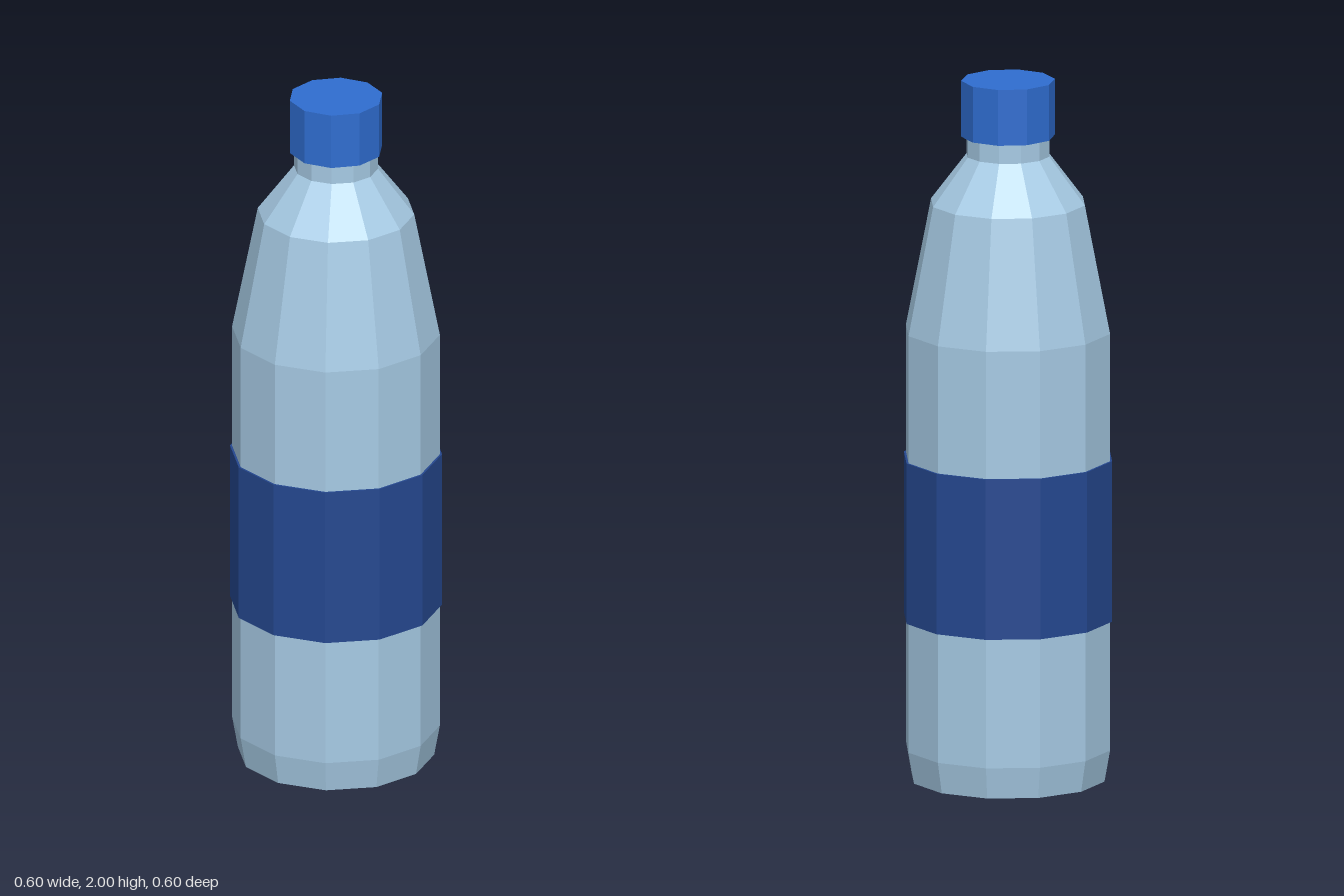
import * as THREE from 'three';

function material(name, color) {
  const m = new THREE.MeshStandardMaterial({ color, flatShading: true });
  m.name = name;
  return m;
}

// Faceted solid turned from [radius, height] points, listed bottom to top
function turned(name, points, sides, mat) {
  const profile = points.map(([r, y]) => new THREE.Vector2(r, y));
  const mesh = new THREE.Mesh(new THREE.LatheGeometry(profile, sides), mat);
  mesh.name = name;
  return mesh;
}

export function createModel() {
  const plastic = material('pale blue plastic', 0xa6cae4);
  const labelBlue = material('navy label', 0x254890);
  const capBlue = material('bright blue cap', 0x2f6dd0);

  const bottle = new THREE.Group();
  bottle.name = 'bottle';

  bottle.add(
    // Body: flat base, short bevel, straight wall, tapering shoulder
    turned('body', [
      [0, 0], [0.276, 0], [0.292, 0.09], [0.292, 1.285],
      [0.22, 1.65], [0.118, 1.785], [0, 1.785],
    ], 12, plastic),

    // Neck between shoulder and cap
    turned('neck', [[0.118, 1.785], [0.118, 1.85]], 12, plastic),

    // Label sleeve, just proud of the wall
    turned('label', [[0.29, 0.46], [0.298, 0.46], [0.298, 0.92], [0.29, 0.92]], 12, labelBlue),

    // Ten-sided screw cap
    turned('cap', [[0, 1.84], [0.132, 1.84], [0.132, 2], [0, 2]], 10, capBlue),
  );
  return bottle;
}
